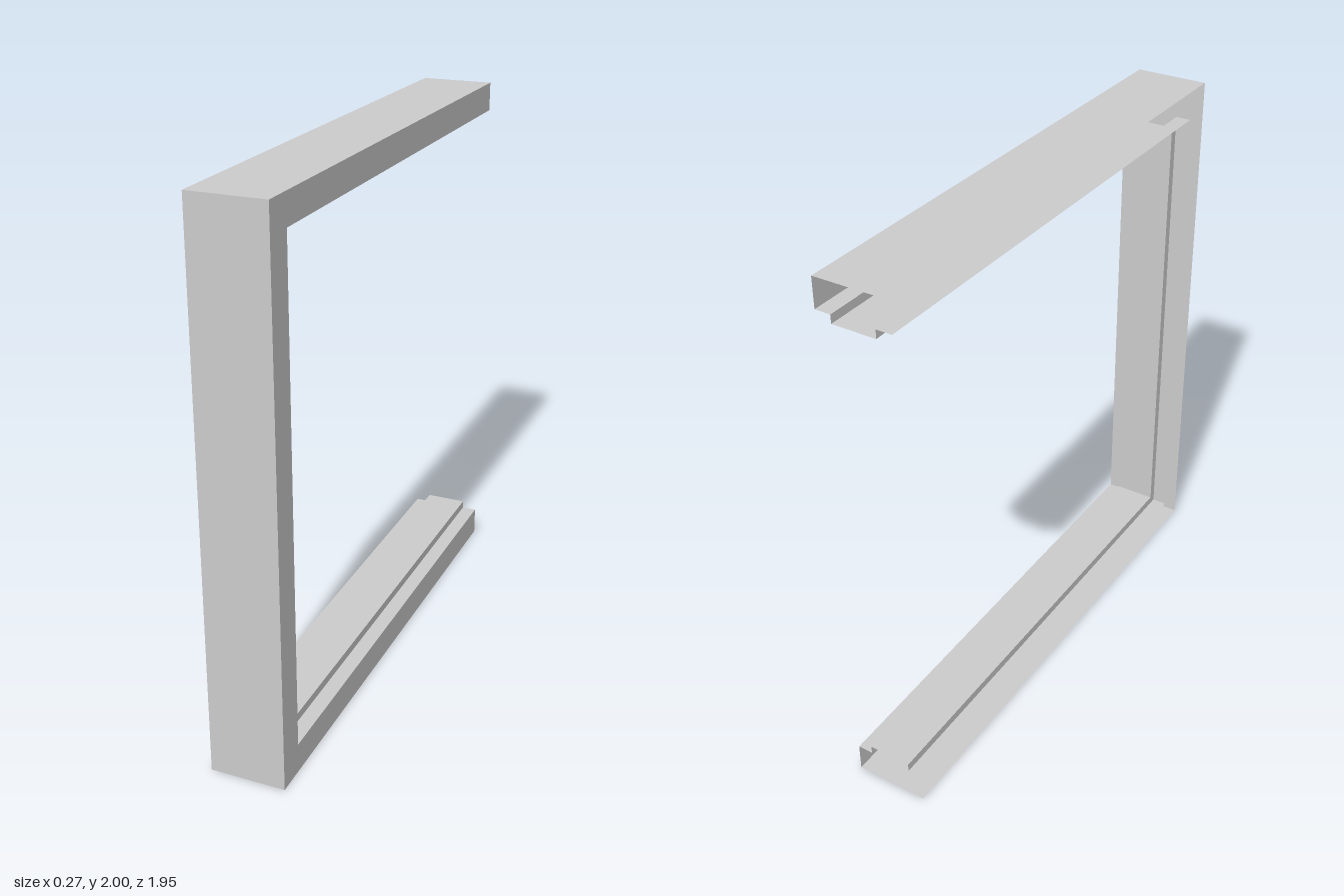
import * as THREE from 'three';

const HALF_W = 0.137, HALF_D = 0.975, HEIGHT = 2;
const LEDGE = 0.108, RAISED = 0.139, STOP = 0.08;

// Sheet profile as [x, depth inward from the outer face]; the -x side is open
const profile = [
  [-HALF_W, 0], [HALF_W, 0], [HALF_W, LEDGE], [STOP, LEDGE],
  [STOP, RAISED], [-STOP, RAISED], [-STOP, LEDGE], [-HALF_W, LEDGE],
];

// Stations along the frame: lower open end, two mitred corners, upper open end
const stations = [
  (x, d) => [x, d, -HALF_D],
  (x, d) => [x, d, HALF_D - d],
  (x, d) => [x, HEIGHT - d, HALF_D - d],
  (x, d) => [x, HEIGHT - d, -HALF_D],
];

// One folded sheet member between two neighbouring stations
function member(name, from, to, material) {
  const positions = [];
  for (let i = 0; i < profile.length - 1; i++) {
    const a = from(...profile[i]), b = from(...profile[i + 1]);
    const c = to(...profile[i + 1]), d = to(...profile[i]);
    positions.push(...a, ...b, ...c, ...a, ...c, ...d);
  }
  const geometry = new THREE.BufferGeometry();
  geometry.setAttribute('position', new THREE.Float32BufferAttribute(positions, 3));
  geometry.computeVertexNormals();
  const mesh = new THREE.Mesh(geometry, material);
  mesh.name = name;
  return mesh;
}

export function createModel() {
  const group = new THREE.Group();
  group.name = 'channelFrame';
  const material = new THREE.MeshStandardMaterial({
    color: 0xcccccc, flatShading: true, side: THREE.DoubleSide,
  });
  ['lowerRail', 'frontPost', 'upperRail'].forEach((name, i) => {
    group.add(member(name, stations[i], stations[i + 1], material));
  });
  return group;
}
